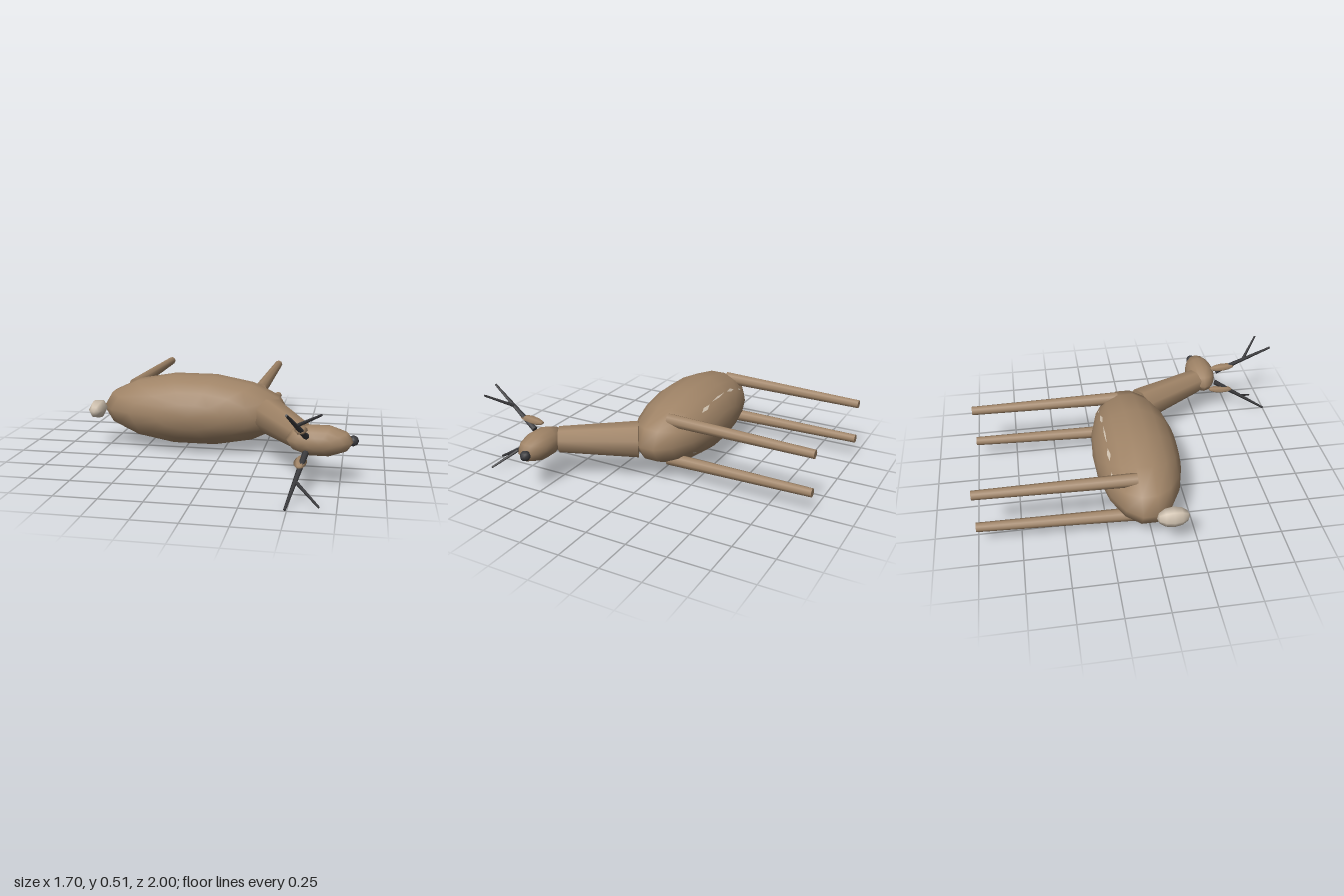
import * as THREE from 'three';

const MID = 0.253; // height of the animal's plane of symmetry

export function createModel() {
  const group = new THREE.Group();
  const make = (name, hex) => {
    const m = new THREE.MeshStandardMaterial({ color: hex });
    m.name = name;
    return m;
  };
  const brown = make('brown fur', 0xa08467);
  const pale = make('pale fur', 0xd0c2b0);
  const dark = make('dark horn', 0x3a3a3d);
  pale.side = THREE.DoubleSide;

  const add = (name, geo, mat) => {
    const mesh = new THREE.Mesh(geo, mat);
    mesh.name = name;
    group.add(mesh);
    return mesh;
  };

  // Ellipsoid with its poles along z
  const ellipsoid = (name, mat, c, r, w, h) => {
    const g = new THREE.SphereGeometry(1, w, h).rotateX(Math.PI / 2);
    g.scale(...r);
    const mesh = add(name, g, mat);
    mesh.position.set(...c);
    return mesh;
  };

  // Tapered rod from a to b
  const rod = (name, mat, a, b, ra, rb, sides) => {
    const p = new THREE.Vector3(...a), q = new THREE.Vector3(...b);
    const d = q.clone().sub(p);
    const mesh = add(name, new THREE.CylinderGeometry(rb, ra, d.length(), sides), mat);
    mesh.position.copy(p).add(q).multiplyScalar(0.5);
    mesh.quaternion.setFromUnitVectors(new THREE.Vector3(0, 1, 0), d.normalize());
    return mesh;
  };

  // Trunk, neck, head
  ellipsoid('body', brown, [-0.19, MID, -0.03], [0.6, 0.228, 0.26], 14, 9);
  rod('neck', brown, [0.303, MID, 0.08], [0.533, MID, 0.5], 0.112, 0.08, 8);
  ellipsoid('head', brown, [0.632, MID, 0.557], [0.188, 0.089, 0.095], 10, 8);
  ellipsoid('nose', dark, [0.815, MID, 0.535], [0.031, 0.032, 0.031], 8, 6);
  ellipsoid('tail', pale, [-0.797, MID, 0.09], [0.055, 0.06, 0.093], 6, 6);

  for (const s of [1, -1]) {
    const side = s > 0 ? 'upper' : 'lower';
    const y = (v) => MID + s * v;

    // Legs
    rod(side + 'FrontLeg', brown, [0.219, y(0.128), -0.08], [0.232, y(0.119), -1], 0.04, 0.027, 8);
    rod(side + 'RearLeg', brown, [-0.602, y(0.128), -0.08], [-0.583, y(0.119), -1], 0.04, 0.027, 8);

    // Ear
    const ear = ellipsoid(side + 'Ear', brown, [0.54, y(0.09), 0.69], [0.036, 0.021, 0.085], 6, 6);
    ear.rotation.x = -s * 0.08;

    // Antler with one tine
    rod(side + 'Antler', dark, [0.565, y(0.045), 0.655], [0.49, y(0.247), 1], 0.018, 0.007, 6);
    rod(side + 'Tine', dark, [0.527, y(0.15), 0.83], [0.66, y(0.243), 0.945], 0.01, 0.006, 6);

    // Pale flank streaks, one thin diamond per body facet: [facet, half width, half height]
    const streaks = [[1, 0.2, 0.005], [2, 0.3, 0.01], [3, 0.5, 0.005], [4, 0.3, 0.01], [5, 0.2, 0.005]];
    for (const [k, w, h] of streaks) {
      const at = (t, z) => {
        const u = (z + 0.161) / -0.068;
        const r = 1.006 * THREE.MathUtils.lerp(0.866, 0.643, u);
        const a = (k / 14) * Math.PI * 2, b = ((k + 1) / 14) * Math.PI * 2;
        const cx = THREE.MathUtils.lerp(Math.cos(a), Math.cos(b), t);
        const cy = THREE.MathUtils.lerp(Math.sin(a), Math.sin(b), t);
        return [-0.19 + 0.6 * r * cx, y(0.228 * r * cy), z];
      };
      const z = -0.212;
      const corners = [at(0.5 - w, z), at(0.5, z - h), at(0.5 + w, z), at(0.5, z + h)];
      const g = new THREE.BufferGeometry();
      g.setAttribute('position', new THREE.Float32BufferAttribute(corners.flat(), 3));
      g.setIndex(s > 0 ? [0, 2, 1, 0, 3, 2] : [0, 1, 2, 0, 2, 3]);
      g.computeVertexNormals();
      // keep the face turned outward
      if (g.attributes.normal.getY(0) * s < 0) {
        g.index.array.reverse();
        g.computeVertexNormals();
      }
      add(side + 'FlankStreak', g, pale);
    }
  }
  return group;
}
